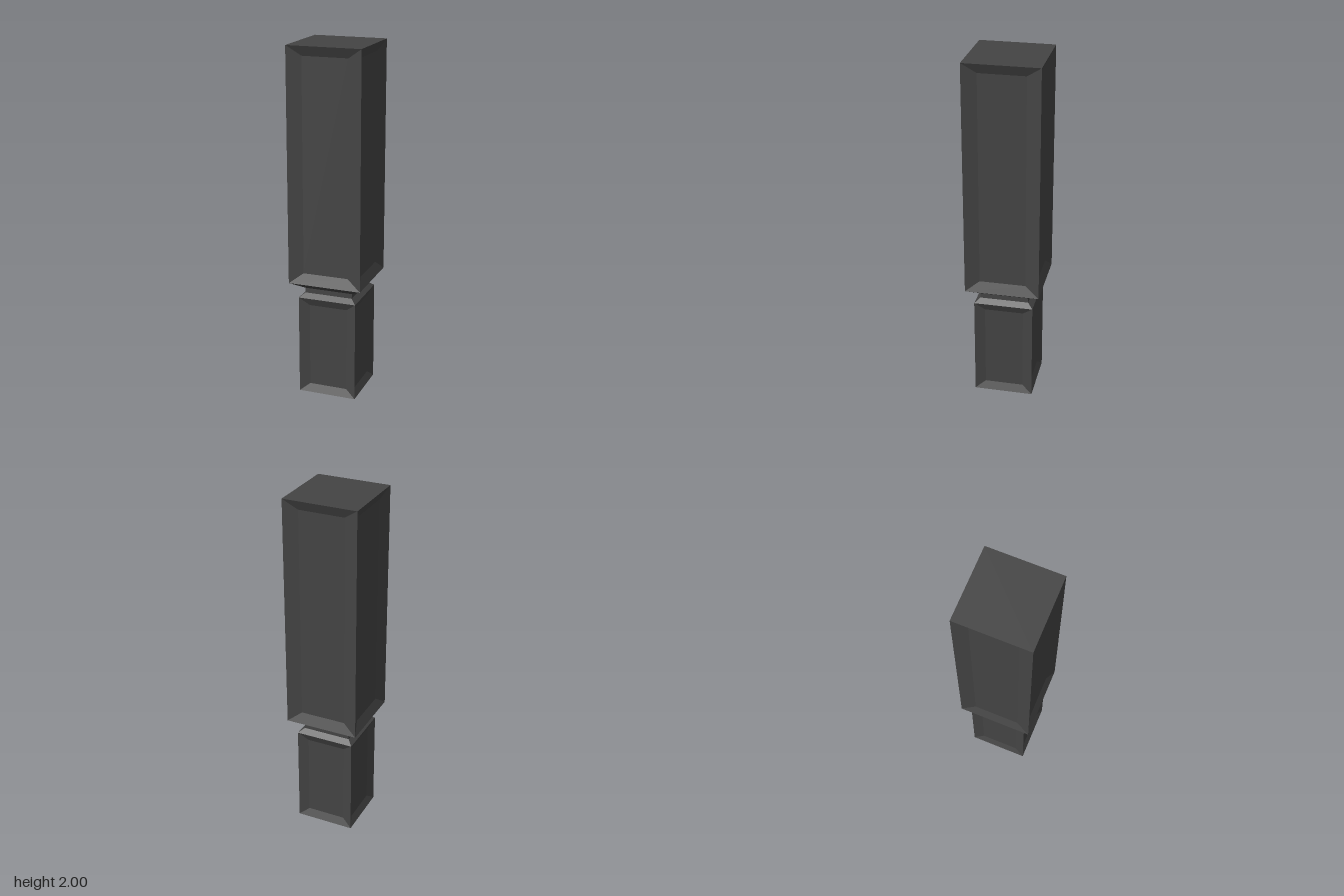
import * as THREE from 'three';

const material = new THREE.MeshStandardMaterial({ color: 0x444444, flatShading: true, side: THREE.DoubleSide });

// One wall facing +z: a sunken flat panel with four sloped borders running out to the edges
function panelGeometry({ half, y0, y1, border, low, high, depth }) {
  const w = half - border, z = half - depth;
  const outer = [[-half, y0, half], [half, y0, half], [half, y1, half], [-half, y1, half]];
  const inner = [[-w, y0 + low, z], [w, y0 + low, z], [w, y1 - high, z], [-w, y1 - high, z]];
  const quads = [inner];
  for (let i = 0; i < 4; i++) {
    const j = (i + 1) % 4;
    quads.push([outer[i], outer[j], inner[j], inner[i]]);
  }
  const positions = quads.flatMap(([a, b, c, d]) => [a, b, c, a, c, d].flat());
  const geometry = new THREE.BufferGeometry();
  geometry.setAttribute('position', new THREE.Float32BufferAttribute(positions, 3));
  geometry.computeVertexNormals();
  return geometry;
}

// Four identical panelled walls around the vertical axis
function panelledBlock(name, size) {
  const block = new THREE.Group();
  block.name = name;
  const geometry = panelGeometry(size);
  for (let i = 0; i < 4; i++) {
    const wall = new THREE.Mesh(geometry, material);
    wall.name = name + 'Panel';
    wall.rotation.y = i * Math.PI / 2;
    block.add(wall);
  }
  return block;
}

export function createModel() {
  const model = new THREE.Group();
  model.name = 'squareLeg';

  // Lower block is open underneath
  model.add(panelledBlock('lowerBlock', { half: 0.168, y0: 0, y1: 0.578, border: 0.058, low: 0.045, high: 0.045, depth: 0.02 }));
  model.add(panelledBlock('upperBlock', { half: 0.21, y0: 0.675, y1: 2, border: 0.08, low: 0.06, high: 0.055, depth: 0.025 }));

  // Square neck with sloped shoulders joining the blocks
  const profile = [[0.168, 0.578], [0.138, 0.602], [0.138, 0.63], [0.21, 0.675]]
    .map(([half, y]) => new THREE.Vector2(half * Math.SQRT2, y));
  const neck = new THREE.Mesh(new THREE.LatheGeometry(profile, 4, Math.PI / 4), material);
  neck.name = 'neck';
  model.add(neck);

  // Flat top
  const top = new THREE.Mesh(new THREE.PlaneGeometry(0.42, 0.42), material);
  top.name = 'top';
  top.rotation.x = -Math.PI / 2;
  top.position.y = 2;
  model.add(top);

  return model;
}
